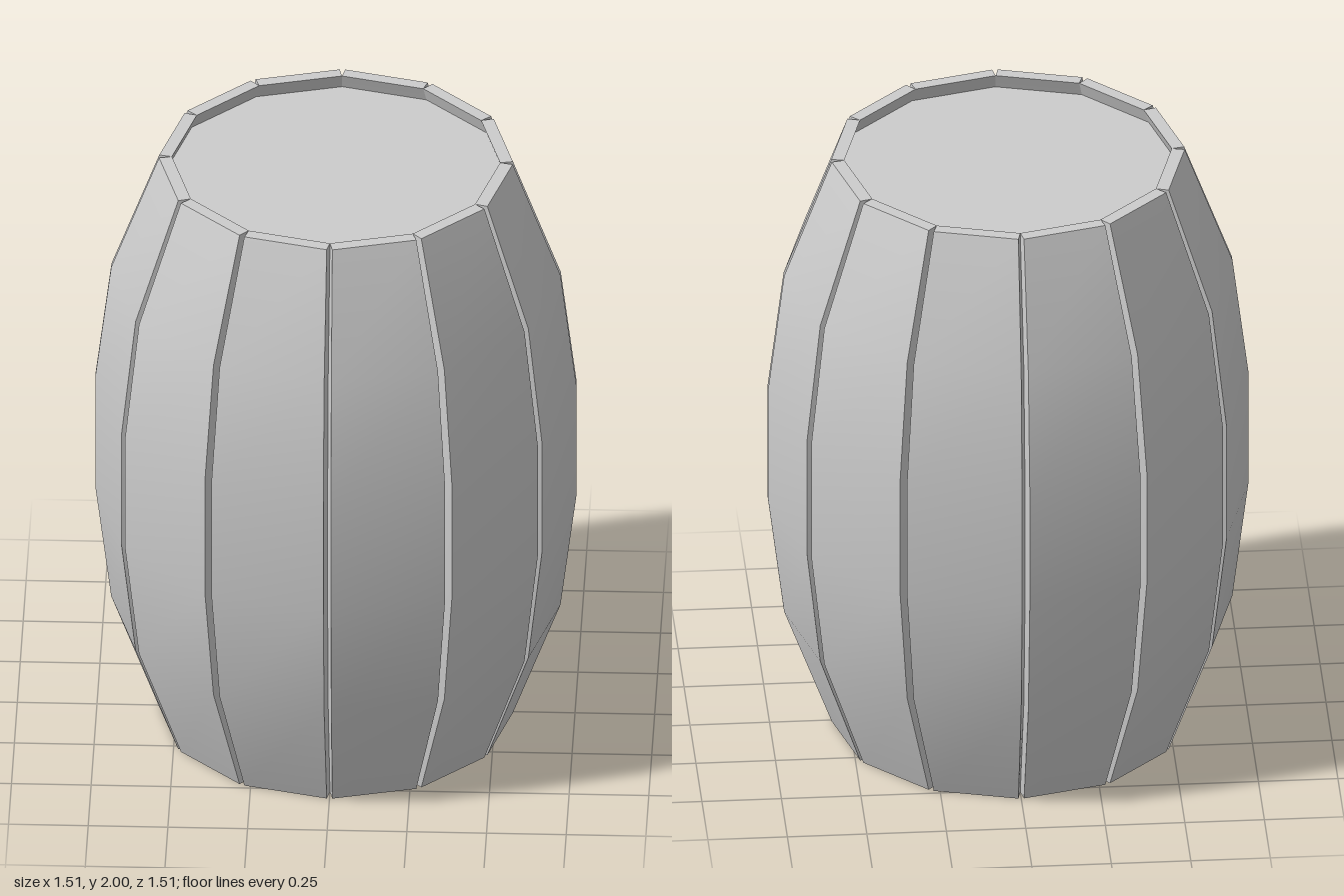
import * as THREE from 'three';
import { toCreasedNormals } from 'three/addons/utils/BufferGeometryUtils.js';

const STAVES = 12;
const HALF = Math.PI / STAVES;   // half the angle of one stave
const GAP = 0.016;               // angle trimmed from each outer edge
const THICK = 0.04;
// [height, outer corner radius]
const PROFILE = [[0, 0.555], [0.4, 0.705], [0.8, 0.755], [1.2, 0.755], [1.6, 0.705], [2, 0.555]];

// One bowed plank: a four-cornered section at each height, closed at both ends
function staveGeometry() {
  const positions = [], index = [];
  for (const [y, r] of PROFILE) {
    const corners = [[r, GAP - HALF], [r, HALF - GAP], [r - THICK, HALF], [r - THICK, -HALF]];
    for (const [radius, a] of corners) positions.push(radius * Math.sin(a), y, radius * Math.cos(a));
  }
  for (let i = 0; i < PROFILE.length - 1; i++) {
    for (let c = 0; c < 4; c++) {
      const a = i * 4 + c, b = i * 4 + (c + 1) % 4;
      index.push(a, b, b + 4, a, b + 4, a + 4);
    }
  }
  const t = (PROFILE.length - 1) * 4;
  index.push(t, t + 1, t + 2, t, t + 2, t + 3, 0, 2, 1, 0, 3, 2);
  const geometry = new THREE.BufferGeometry();
  geometry.setAttribute('position', new THREE.Float32BufferAttribute(positions, 3));
  geometry.setIndex(index);
  return toCreasedNormals(geometry, 0.5);
}

export function createModel() {
  const barrel = new THREE.Group();
  barrel.name = 'barrel';
  const material = new THREE.MeshStandardMaterial({ color: 0xcccccc });

  // Ring of staves with V-shaped grooves between them
  const staves = new THREE.Group();
  staves.name = 'staves';
  const plank = staveGeometry();
  for (let i = 0; i < STAVES; i++) {
    const stave = new THREE.Mesh(plank, material);
    stave.name = 'stave';
    stave.rotation.y = HALF * (2 * i + 1);
    staves.add(stave);
  }
  barrel.add(staves);

  // Recessed lid and flush base
  const addHead = (name, radius, y, tilt) => {
    const head = new THREE.Mesh(new THREE.CircleGeometry(radius, STAVES), material);
    head.name = name;
    head.rotation.x = tilt;
    head.position.y = y;
    barrel.add(head);
  };
  addHead('lid', 0.534, 1.95, -Math.PI / 2);
  addHead('base', 0.515, 0, Math.PI / 2);

  return barrel;
}
